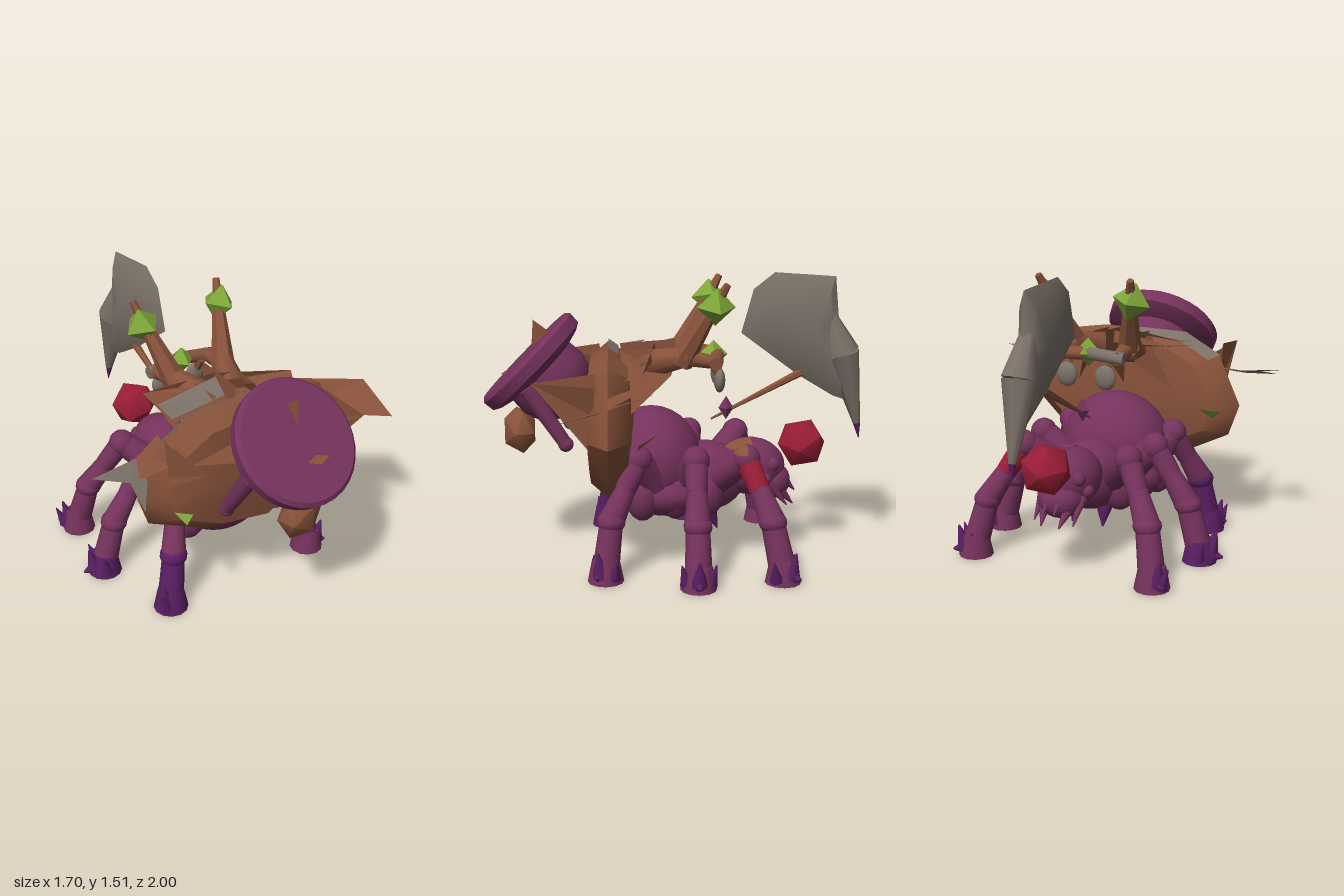
import * as THREE from 'three';
import { toCreasedNormals } from 'three/addons/utils/BufferGeometryUtils.js';

const mat = (name, color, side = THREE.FrontSide) => Object.assign(new THREE.MeshStandardMaterial({ color, side }), { name });
const V = (p) => new THREE.Vector3(...p);

export function createModel() {
  const model = new THREE.Group();
  const D = THREE.DoubleSide;
  const purple = mat('purple hide', 0x75325c), violet = mat('violet claw', 0x591e63, D);
  const brown = mat('brown shell', 0x88523a, D), grey = mat('grey bone', 0x7b7168, D);
  const green = mat('green thorn', 0x7ea638, D), red = mat('red', 0x991d36);
  const CX = 0.033; // the creature's own centre line

  function add(name, geo, material, pos = [0, 0, 0], parent = model) {
    const m = new THREE.Mesh(geo, material);
    m.name = name;
    m.position.set(...pos);
    parent.add(m);
    return m;
  }
  function ball(name, material, pos, scale, parent, w = 20, h = 14) {
    const m = add(name, new THREE.SphereGeometry(1, w, h), material, pos, parent);
    m.scale.set(...scale);
    return m;
  }
  // tapered rod or spike from a to b
  function rod(name, material, a, b, r0, r1, parent, sides = 12) {
    const A = V(a), B = V(b), dir = B.clone().sub(A);
    const geo = toCreasedNormals(new THREE.CylinderGeometry(r1, r0, dir.length(), sides), sides < 8 ? 0.2 : 0.9);
    const m = add(name, geo, material, A.clone().add(B).multiplyScalar(0.5).toArray(), parent);
    m.quaternion.setFromUnitVectors(new THREE.Vector3(0, 1, 0), dir.normalize());
    return m;
  }
  function soup(points) {
    const g = new THREE.BufferGeometry();
    g.setAttribute('position', new THREE.Float32BufferAttribute(points.flat(), 3));
    g.computeVertexNormals();
    return g;
  }
  // flat plate as a fan of its corners
  function plate(name, material, corners) {
    const t = [];
    for (let i = 1; i < corners.length - 1; i++) t.push(corners[0], corners[i], corners[i + 1]);
    return add(name, soup(t), material);
  }
  // solid with a sharp rim, swelling to its middle on both faces
  function lens(outline, [cu, cv], w, innerScale, innerThick, thick) {
    const pts = outline.map((p) => new THREE.Vector2(...p));
    if (THREE.ShapeUtils.area(pts) < 0) pts.reverse();
    const t = [];
    for (const s of [1, -1]) {
      const mid = [cu, cv, w + s * thick];
      const inner = (p) => [cu + (p.x - cu) * innerScale, cv + (p.y - cv) * innerScale, w + s * innerThick];
      pts.forEach((p, i) => {
        const q = pts[(i + 1) % pts.length];
        const a = [p.x, p.y, w], b = [q.x, q.y, w], c = inner(p), d = inner(q);
        const tris = [[a, b, d], [a, d, c], [c, d, mid]];
        for (const f of tris) t.push(...(s > 0 ? f : f.reverse()));
      });
    }
    return toCreasedNormals(soup(t), 0.7);
  }
  // softly shaded twenty-sided lump
  const lump = () => toCreasedNormals(new THREE.IcosahedronGeometry(1, 0), 0.8);

  // shell shield
  add('shell', lens([[-0.6, 0.74], [-0.54, 0.57], [-0.2, 0.4], [0.17, 0.33], [0.42, 0.47], [0.68, 0.72],
    [0.54, 1.03], [0.46, 1.08], [0.2, 1.12], [-0.28, 1.11], [-0.48, 1.0]], [0.03, 0.74], 0.34, 0.8, 0.1, 0.135), brown);
  const streak = [[-0.48, 1.0], [-0.28, 1.11], [0.08, 1.117]];
  const onShell = ([x, y], k, z) => [0.03 + (x - 0.03) * k, 0.74 + (y - 0.74) * k + 0.007, z];
  for (let i = 0; i < 2; i++) {
    const [a, b] = [streak[i], streak[i + 1]];
    plate('shellStreak', grey, [onShell(a, 1, 0.345), onShell(b, 1, 0.345), onShell(b, 0.91, 0.29), onShell(a, 0.91, 0.29)]);
  }

  // horn cup opening up and forward
  const profile = [[0, -0.37], [0.12, -0.36], [0.19, -0.3], [0.22, -0.21], [0.212, -0.12], [0.285, -0.1],
    [0.32, -0.08], [0.325, -0.02], [0.305, 0], [0, 0]].map((p) => new THREE.Vector2(...p));
  add('hornCup', toCreasedNormals(new THREE.LatheGeometry(profile, 32), 0.6), purple, [CX, 1.08, 0.78]).rotation.x = Math.PI / 4;
  plate('cupMark', brown, [[0.02, 1.005, 0.87], [0.08, 1.02, 0.855], [0.15, 1.0, 0.875], [0.08, 0.99, 0.9]]);
  plate('cupThorn', brown, [[0.06, 1.13, 0.74], [0.06, 1.27, 0.73], [0.06, 1.21, 0.65]]);
  for (const x of [-0.22, 0.28]) {
    rod('hangingTube', purple, [x, 0.95, 0.75], [x, 0.66, 0.56], 0.046, 0.035);
    ball('tubeEnd', purple, [x, 0.66, 0.56], [0.038, 0.04, 0.04], model, 12, 8);
  }
  const egg = add('hangingEgg', lump(), brown, [CX, 0.68, 0.815]);
  egg.scale.set(0.14, 0.13, 0.095);
  egg.rotation.y = 0.3;

  // side wings, the right one with a bone tip
  plate('leftWing', brown, [[0.5, 0.955, 0.12], [0.85, 0.955, 0.34], [0.81, 0.87, 0.62], [0.52, 0.87, 0.38]]);
  plate('leftWingTop', brown, [[0.36, 1.0, 0.08], [0.85, 0.955, 0.34], [0.55, 0.95, 0.36]]);
  plate('rightWing', brown, [[-0.4, 0.98, 0.22], [-0.57, 0.94, 0.29], [-0.64, 0.91, 0.42], [-0.42, 0.92, 0.42]]);
  plate('rightWingTip', grey, [[-0.57, 0.94, 0.29], [-0.85, 0.96, 0.35], [-0.69, 0.92, 0.43], [-0.72, 0.87, 0.61], [-0.6, 0.9, 0.44]]);

  // forward blades, small thorns and front fin
  for (const s of [-1, 1]) {
    const x = CX + s * 0.48;
    plate('forwardBlade', brown, [[x - 0.03, 1.06, 0.4], [x, 1.02, 0.71], [x, 0.66, 0.42], [x + 0.03, 0.8, 0.38]]);
    plate('forwardBladeSide', brown, [[x + 0.03, 1.0, 0.4], [x, 1.02, 0.71], [x - 0.03, 0.8, 0.42]]);
    plate('backThorn', s < 0 ? green : brown, [[CX + s * 0.58, 0.73, 0.19], [CX + s * 0.49, 0.76, 0.1], [CX + s * 0.53, 0.69, 0.2]]);
    plate('frontFin', brown, [[CX + s * 0.42, 0.94, 0.5], [CX + s * 0.2, 0.96, 0.65], [CX + s * 0.1, 0.95, 0.45]]);
  }
  plate('frontThorn', green, [[-0.49, 0.71, 0.5], [-0.42, 0.705, 0.56], [-0.49, 0.7, 0.61]]);

  // rear plates on top of the shell
  plate('rearPlate', brown, [[-0.35, 1.1, 0.01], [0.03, 1.14, 0.1], [0.48, 1.05, 0.17], [0.42, 1.0, 0.28], [-0.35, 1.06, 0.28]]);
  plate('rearPlateStripe', grey, [[-0.35, 1.1, 0.15], [0, 1.15, 0.15], [-0.02, 1.1, 0.26], [-0.35, 1.08, 0.28]]);
  plate('rearSpine', brown, [[CX, 1.16, -0.01], [CX, 1.14, 0.28], [CX, 0.8, 0.25], [CX, 1.02, 0.0]]);
  for (const s of [-1, 1]) {
    plate('rearButtress', brown, [[CX + s * 0.12, 1.12, 0.28], [CX + s * 0.14, 1.13, -0.03], [CX + s * 0.15, 0.99, 0.02], [CX + s * 0.3, 0.8, 0.25]]);
    // stalks with thorn tips
    rod('stalkRoot', brown, [CX + s * 0.08, 1.04, 0.15], [CX + s * 0.17, 1.1, -0.08], 0.08, 0.055, model, 8);
    rod('stalk', brown, [CX + s * 0.15, 1.06, -0.03], [CX + s * 0.26, 1.47, -0.26], 0.065, 0.018, model, 6);
    rod('stalkArm', brown, [CX + s * 0.15, 1.09, -0.03], [CX + s * 0.17, 1.06, -0.23], 0.045, 0.035, model, 8);
    const thorn = add('stalkThorn', new THREE.OctahedronGeometry(0.1), green, [CX + s * 0.24, 1.355, -0.205]);
    thorn.rotation.set(0, 0.15, -0.25 * s);
    // rear eyes
    ball('eye', grey, [CX + s * 0.11, 0.96, -0.235], [0.06, 0.065, 0.03], model, 14, 10);
    rod('eyeStalk', brown, [CX + s * 0.12, 1.06, -0.2], [CX + s * 0.11, 0.98, -0.23], 0.03, 0.02, model, 6);
  }
  rod('crossBarBone', grey, [-0.17, 1.06, -0.21], [CX, 1.08, -0.23], 0.035, 0.035, model, 8);
  rod('crossBar', brown, [CX, 1.08, -0.23], [0.24, 1.06, -0.21], 0.035, 0.035, model, 8);
  add('middleThorn', new THREE.OctahedronGeometry(0.075), green, [CX, 1.08, -0.21]);

  // axe blade with a thick hooked fang, its handle and the red ball
  const blade = add('axeBlade', lens([[-0.53, 1.507], [-0.85, 1.485], [-0.875, 1.23], [-0.96, 1.12],
    [-0.94, 0.82], [-0.85, 0.85], [-0.66, 0.965], [-0.357, 1.19], [-0.42, 1.42]], [-0.74, 1.2], 0, 0.7, 0.045, 0.06), grey, [0.03, 0, 0]);
  blade.rotation.y = -Math.PI / 2;
  rod('fang', grey, [0.033, 1.08, -0.895], [0.03, 0.7, -0.985], 0.092, 0.02, model, 8);
  rod('fangShoulder', grey, [0.033, 1.08, -0.895], [0.03, 1.3, -0.81], 0.092, 0.035, model, 8);
  rod('fangTip', violet, [0.03, 0.7, -0.985], [0.03, 0.617, -0.998], 0.02, 0.002, model, 8);
  rod('axeHandle', brown, [CX, 0.98, -0.68], [CX, 0.73, -0.2], 0.022, 0.006, model, 6);
  add('handleKnot', new THREE.OctahedronGeometry(0.04), purple, [CX, 0.79, -0.28]).scale.y = 1.6;
  const orb = add('redBall', lump(), red, [0.02, 0.59, -0.69]);
  orb.scale.setScalar(0.136);
  orb.rotation.set(0.55, 0.3, 0);

  // crawling body
  const body = new THREE.Group();
  body.name = 'crawler';
  body.position.x = CX;
  model.add(body);
  ball('abdomen', purple, [0, 0.51, 0.12], [0.3, 0.29, 0.27], body, 28, 20);
  ball('belly', purple, [0, 0.37, 0.04], [0.31, 0.15, 0.26], body);
  ball('thorax', purple, [0, 0.42, -0.17], [0.19, 0.19, 0.22], body);
  ball('head', purple, [0, 0.47, -0.41], [0.155, 0.155, 0.19], body);
  ball('snout', purple, [0, 0.39, -0.53], [0.12, 0.1, 0.1], body);
  // brown patch on the crown
  const crown = add('crownPatch', new THREE.SphereGeometry(1.02, 10, 6, 1.7, 1.5, 0.1, 0.7), brown, [0, 0.47, -0.41], body);
  crown.scale.set(0.155, 0.155, 0.19);
  // violet blotch on the right flank of the abdomen
  const blotch = add('flankBlotch', new THREE.SphereGeometry(1.015, 8, 6, -0.2, 0.6, 1.25, 0.4), violet, [0, 0.51, 0.12], body);
  blotch.scale.set(0.3, 0.29, 0.27);

  // legs: hip, knee, ankle and foot, as z, distance from centre and shared heights
  const legs = [
    { z: [0.1, 0.19, 0.33, 0.36], x: [0.2, 0.31, 0.42, 0.46], toe: [0.07, 0.04] },
    { z: [-0.07, -0.1, -0.1, -0.1], x: [0.15, 0.33, 0.52, 0.59], toe: [0.1, 0] },
    { z: [-0.2, -0.36, -0.48, -0.53], x: [0.12, 0.3, 0.46, 0.51], toe: [0.07, -0.06] },
  ];
  const heights = [0.42, 0.59, 0.3, 0.06];
  for (const s of [-1, 1]) {
    legs.forEach((leg, n) => {
      const g = new THREE.Group();
      g.name = (s > 0 ? 'left' : 'right') + ['Front', 'Middle', 'Rear'][n] + 'Leg';
      body.add(g);
      const [hip, knee, ankle, foot] = heights.map((y, i) => [s * leg.x[i], y, leg.z[i]]);
      const marked = s > 0 && n === 2;
      const lower = s < 0 && n === 0 ? violet : purple;
      const shinEnd = V(knee).lerp(V(ankle), 0.5).toArray();
      rod('thigh', purple, hip, knee, 0.09, 0.066, g);
      ball('knee', purple, knee, [0.072, 0.072, 0.072], g, 14, 10);
      if (marked) add('kneePatch', new THREE.SphereGeometry(0.074, 10, 5, 1.4, 1.8, 0.1, 1.1), brown, knee, g);
      rod('upperShin', marked ? red : purple, knee, shinEnd, 0.062, 0.055, g);
      rod('lowerShin', purple, shinEnd, ankle, 0.053, 0.068, g);
      ball('ankle', lower, ankle, [0.073, 0.06, 0.073], g, 14, 10);
      rod('shank', lower, ankle, foot, 0.06, 0.07, g);
      rod('foot', s < 0 && n < 2 ? violet : purple, [foot[0], 0.12, foot[2]], [foot[0], 0, foot[2]], 0.068, 0.092, g);
      // claws
      const [tx, tz] = leg.toe;
      rod('toeClaw', violet, [foot[0] + s * tx * 0.5, 0.045, foot[2] + tz * 0.5], [foot[0] + s * tx * 1.3, 0.04, foot[2] + tz * 1.3], 0.045, 0.006, g, 8);
      rod('topClaw', violet, [foot[0] + s * tx * 0.6, 0.04, foot[2] + tz * 0.6], [foot[0] + s * tx * 0.95, 0.17, foot[2] + tz * 0.95], 0.045, 0.004, g, 8);
      for (const k of [-1, 1])
        rod('sideClaw', violet, [foot[0] - k * tz * 0.8 + s * 0.02, 0.03, foot[2] + k * tx * 0.6],
          [foot[0] - k * tz + s * 0.05, 0.14, foot[2] + k * tx * 0.85], 0.034, 0.003, g, 8);
    });
    // jaws, brow bumps, belly spikes and flank ribs
    rod('jaw', purple, [s * 0.07, 0.37, -0.55], [s * 0.05, 0.27, -0.64], 0.035, 0.004, body, 8);
    rod('outerJaw', purple, [s * 0.11, 0.4, -0.5], [s * 0.11, 0.28, -0.6], 0.03, 0.004, body, 8);
    rod('tusk', purple, [s * 0.03, 0.42, -0.58], [s * 0.03, 0.34, -0.65], 0.03, 0.004, body, 8);
    ball('brow', purple, [s * 0.1, 0.5, -0.52], [0.04, 0.04, 0.04], body, 10, 8);
    ball('cheek', purple, [s * 0.13, 0.43, -0.48], [0.035, 0.035, 0.035], body, 10, 8);
    rod('bellySpike', violet, [s * 0.08, 0.28, -0.18], [s * 0.09, 0.15, -0.23], 0.055, 0.004, body, 8);
    for (let i = 0; i < 3; i++)
      ball('flankRib', purple, [s * (0.22 - i * 0.03), 0.37, 0.17 - i * 0.17], [0.1, 0.13, 0.09], body, 14, 10);
  }
  return model;
}
